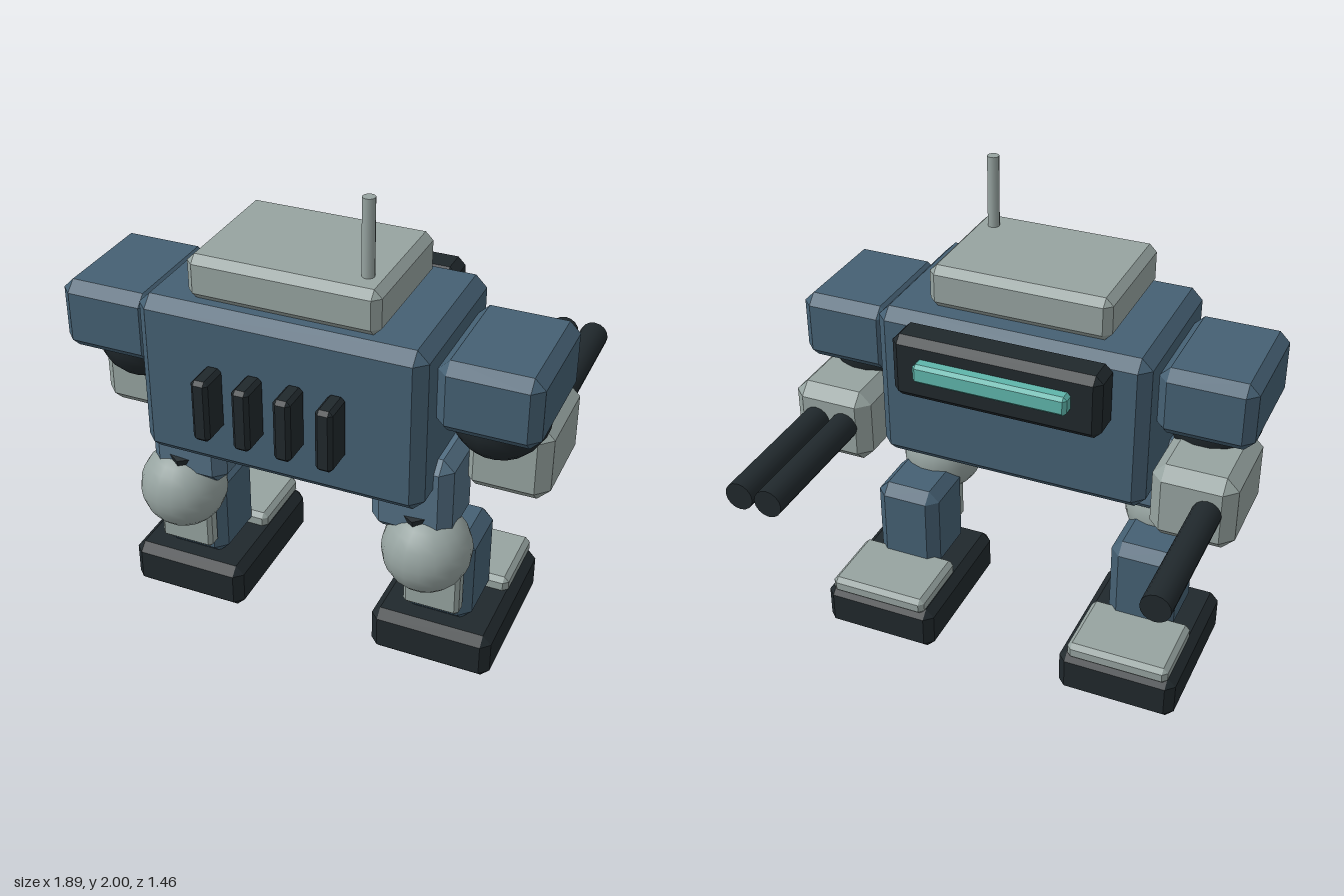
import * as THREE from 'three';
import { ConvexGeometry } from 'three/addons/geometries/ConvexGeometry.js';

const paint = (color, flatShading = true) => new THREE.MeshStandardMaterial({ color, flatShading });
const blue = paint(0x456073);
const paleBlue = paint(0x526e82);
const dark = paint(0x20282c);
const darkSmooth = paint(0x20282c, false);
const grey = paint(0x96a3a0);
const greySmooth = paint(0x96a3a0, false);
const teal = paint(0x5fb5ab);

function add(parent, name, geometry, material) {
  const mesh = new THREE.Mesh(geometry, material);
  mesh.name = name;
  parent.add(mesh);
  return mesh;
}

// Box with every edge chamfered, given by its [min, max] on each axis
function chamferBox(parent, name, material, [x0, x1], [y0, y1], [z0, z1], c) {
  const half = [(x1 - x0) / 2, (y1 - y0) / 2, (z1 - z0) / 2];
  const points = [];
  for (const sx of [-1, 1]) for (const sy of [-1, 1]) for (const sz of [-1, 1]) {
    for (let axis = 0; axis < 3; axis++) {
      const p = half.map((h, i) => (i === axis ? h : h - c));
      points.push(new THREE.Vector3(p[0] * sx, p[1] * sy, p[2] * sz));
    }
  }
  const mesh = add(parent, name, new ConvexGeometry(points), material);
  mesh.position.set((x0 + x1) / 2, (y0 + y1) / 2, (z0 + z1) / 2);
  return mesh;
}

// Straight rod between two points
function rod(parent, name, material, from, to, radius, sides) {
  const a = new THREE.Vector3(...from), b = new THREE.Vector3(...to);
  const dir = b.clone().sub(a);
  const mesh = add(parent, name, new THREE.CylinderGeometry(radius, radius, dir.length(), sides), material);
  mesh.position.copy(a).add(b).multiplyScalar(0.5);
  mesh.quaternion.setFromUnitVectors(new THREE.Vector3(0, 1, 0), dir.normalize());
  return mesh;
}

function ball(parent, name, material, position, radius) {
  const mesh = add(parent, name, new THREE.SphereGeometry(radius, 18, 14), material);
  mesh.position.set(...position);
  return mesh;
}

// Interval on the x axis, mirrored for the right side
const span = (side, a, b) => (side > 0 ? [a, b] : [-b, -a]);

function buildLeg(side) {
  const leg = new THREE.Group();
  leg.name = side > 0 ? 'leftLeg' : 'rightLeg';
  chamferBox(leg, 'thigh', paleBlue, span(side, 0.305, 0.625), [0.665, 1.02], [0.19, 0.475], 0.045);
  ball(leg, 'knee', greySmooth, [side * 0.52, 0.59, 0.4], 0.175);
  rod(leg, 'kneePiston', dark, [side * 0.515, 0.405, 0.345], [side * 0.49, 0.775, 0.445], 0.055, 6);
  chamferBox(leg, 'shin', blue, span(side, 0.393, 0.677), [0.19, 0.585], [0.035, 0.335], 0.045);
  chamferBox(leg, 'shinPlate', grey, span(side, 0.42, 0.65), [0.275, 0.5], [0.32, 0.39], 0.015);
  chamferBox(leg, 'foot', dark, span(side, 0.287, 0.787), [0, 0.2], [-0.25, 0.405], 0.035);
  chamferBox(leg, 'toePlate', grey, span(side, 0.325, 0.755), [0.18, 0.255], [-0.245, 0.08], 0.02);
  return leg;
}

function buildArm(side) {
  const arm = new THREE.Group();
  arm.name = side > 0 ? 'leftArm' : 'rightArm';
  chamferBox(arm, 'shoulder', blue, span(side, 0.56, 0.945), [1.18, 1.465], [0, 0.512], 0.042);
  ball(arm, 'shoulderJoint', darkSmooth, [side * 0.735, 1.18, 0.255], 0.19);
  chamferBox(arm, 'forearm', grey, span(side, 0.597, 0.935), [0.81, 1.13], [-0.14, 0.29], 0.05);
  // Twin barrels on the left arm, one on the right
  for (const x of side > 0 ? [0.7, 0.825] : [-0.83]) {
    rod(arm, 'barrel', darkSmooth, [x, 0.985, -0.05], [x, 0.985, -0.73], 0.058, 16);
  }
  return arm;
}

export function createModel() {
  const model = new THREE.Group();
  model.name = 'walker';

  // Hull with roof hatch and aerial
  chamferBox(model, 'hull', blue, [-0.563, 0.56], [0.87, 1.53], [-0.09, 0.603], 0.045);
  chamferBox(model, 'roofHatch', grey, [-0.375, 0.37], [1.53, 1.705], [0, 0.55], 0.03);
  rod(model, 'aerial', greySmooth, [0.283, 1.68, 0.435], [0.283, 2, 0.435], 0.024, 12);

  // Visor housing and its lens
  chamferBox(model, 'visorHousing', dark, [-0.427, 0.423], [1.245, 1.51], [-0.226, -0.07], 0.03);
  chamferBox(model, 'visorLens', teal, [-0.313, 0.31], [1.355, 1.435], [-0.277, -0.2], 0.014);

  // Row of vent fins
  for (let i = 0; i < 4; i++) {
    const x = -0.245 + i * 0.161;
    chamferBox(model, 'ventFin', dark, [x - 0.034, x + 0.034], [1.058, 1.31], [0.595, 0.728], 0.015);
  }

  for (const side of [-1, 1]) model.add(buildArm(side), buildLeg(side));
  return model;
}
